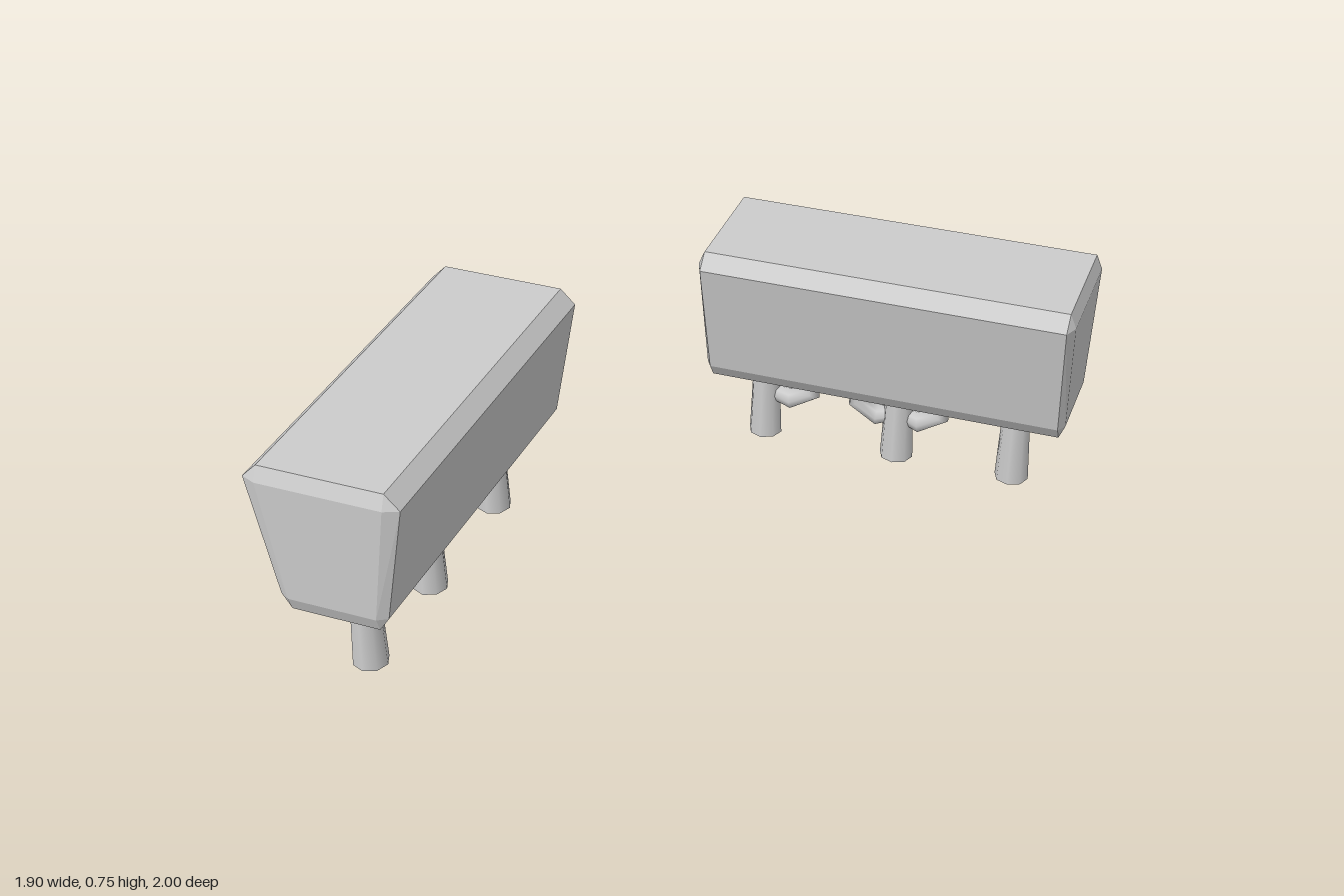
import * as THREE from 'three';
import { mergeVertices } from 'three/addons/utils/BufferGeometryUtils.js';
import { ConvexGeometry } from 'three/addons/geometries/ConvexGeometry.js';

const material = new THREE.MeshStandardMaterial({ color: 0xcccccc });

function addMesh(parent, geometry, name) {
  const mesh = new THREE.Mesh(geometry, material);
  mesh.name = name;
  parent.add(mesh);
  return mesh;
}

// Tapered block with every edge and corner chamfered
function foliageGeometry() {
  const points = [];
  for (const sx of [-1, 1]) for (const sz of [-1, 1]) {
    const add = (x, y, z) => points.push(new THREE.Vector3(sx * x, y, sz * z));
    // upper corner: top, side and end faces
    add(0.57, 0.735, 0.19);
    add(0.57, 0.69, 0.235);
    add(0.589, 0.69, 0.19);
    // lower corner: bottom, side and end faces
    add(0.56, 0.265, 0.135);
    add(0.56, 0.31, 0.165);
    add(0.578, 0.31, 0.135);
  }
  return new ConvexGeometry(points);
}

// Bent branch: a cylinder whose rows are moved onto mitred path points
function branchGeometry(path, radii) {
  const pts = path.map(([x, y]) => new THREE.Vector2(x, y));
  const rows = pts.length - 1;
  let geo = new THREE.CylinderGeometry(1, 1, 1, 8, rows, true);
  const pos = geo.attributes.position;
  for (let i = 0; i < pos.count; i++) {
    const row = Math.round((0.5 - pos.getY(i)) * rows);
    const p = pts[row];
    const before = pts[Math.max(row - 1, 0)], after = pts[Math.min(row + 1, rows)];
    const a = (row > 0 ? before.clone().sub(p) : p.clone().sub(after)).normalize();
    const b = (row < rows ? p.clone().sub(after) : before.clone().sub(p)).normalize();
    const t = a.clone().add(b).normalize();
    const across = pos.getX(i) * radii[row] / t.dot(a);
    pos.setXYZ(i, p.x + t.y * across, p.y - t.x * across, pos.getZ(i) * radii[row]);
  }
  geo.deleteAttribute('uv');
  geo.deleteAttribute('normal');
  geo = mergeVertices(geo);
  geo.computeVertexNormals();
  return geo;
}

// One hedge, running along x
function createHedge(name) {
  const hedge = new THREE.Group();
  hedge.name = name;
  addMesh(hedge, foliageGeometry(), 'foliage');

  // Trunks with the sides their branches grow on
  const trunks = [
    { x: -0.424, branches: [[1, 0.155]] },
    { x: 0.02, branches: [[-1, 0.138], [1, 0.138]] },
    { x: 0.4, branches: [] },
  ];
  for (const { x, branches } of trunks) {
    const trunk = addMesh(hedge, new THREE.CylinderGeometry(0.042, 0.054, 0.29, 8), 'trunk');
    trunk.position.set(x, 0.145, 0);
    for (const [side, reach] of branches) {
      const path = [[reach, 0.29], [reach, 0.175], [reach - 0.07, 0.137], [0.01, 0.155]]
        .map(([dx, y]) => [x + side * dx, y]);
      addMesh(hedge, branchGeometry(path, [0.024, 0.026, 0.032, 0.024]), 'branch');
    }
  }
  return hedge;
}

export function createModel() {
  const model = new THREE.Group();
  model.name = 'hedges';

  // Back hedge lies across, front hedge runs front to back
  const back = createHedge('backHedge');
  back.position.set(0.355, 0, -0.756);
  back.rotation.y = 0.021;

  const side = createHedge('sideHedge');
  side.position.set(-0.714, 0.015, 0.403);
  side.rotation.y = -Math.PI / 2 - 0.004;

  model.add(back, side);
  return model;
}
